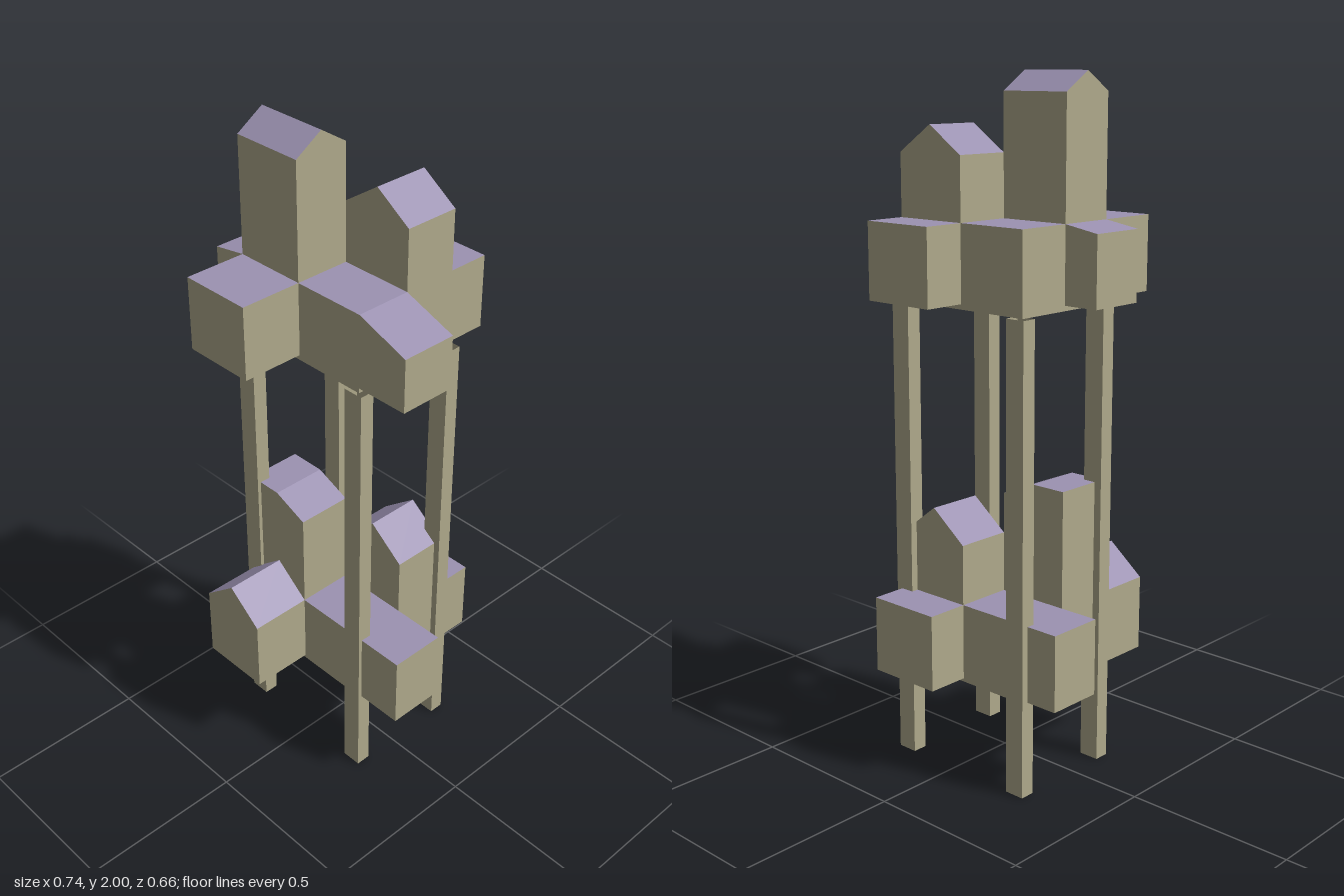
import * as THREE from 'three';

const wallMat = new THREE.MeshStandardMaterial({ color: 0xb0aa8c, flatShading: true });
const roofMat = new THREE.MeshStandardMaterial({ color: 0x9c92b2, flatShading: true });
const poleMat = new THREE.MeshStandardMaterial({ color: 0xb0aa8c, flatShading: true, side: THREE.DoubleSide });

// Shared plan grid: every room fills a grid cell
const X = [-0.25, -0.025, 0.205];
const Z = [-0.203, -0.032, 0.14];
const FAR_X = 0.37, FAR_Z = 0.33;

// Room prism: the roof line [[u, y], ...] closed down to the base, extruded from a to b.
// axis 'z': u is x, extruded along z; axis 'x': u is z, extruded along x.
function room(name, axis, base, roofLine, a, b) {
  const first = roofLine[0], last = roofLine[roofLine.length - 1];
  const shape = new THREE.Shape();
  shape.moveTo(first[0], base).lineTo(last[0], base);
  [...roofLine].reverse().forEach(([u, y]) => shape.lineTo(u, y));
  const geo = new THREE.ExtrudeGeometry(shape, { depth: b - a, bevelEnabled: false });
  if (axis === 'x') geo.rotateY(-Math.PI / 2).translate(b, 0, 0);
  else geo.translate(0, 0, a);

  // Upward faces become the roof, all others the walls
  const flat = geo.index ? geo.toNonIndexed() : geo;
  const p = flat.attributes.position;
  const parts = { Walls: [], Roof: [] };
  const tri = new THREE.Triangle(), n = new THREE.Vector3();
  for (let i = 0; i < p.count; i += 3) {
    tri.setFromAttributeAndIndices(p, i, i + 1, i + 2);
    tri.getNormal(n);
    const list = n.y > 0.1 ? parts.Roof : parts.Walls;
    [tri.a, tri.b, tri.c].forEach((v) => list.push(v.x, v.y, v.z));
  }
  const group = new THREE.Group();
  group.name = name;
  for (const [part, list] of Object.entries(parts)) {
    const g = new THREE.BufferGeometry();
    g.setAttribute('position', new THREE.Float32BufferAttribute(list, 3));
    g.computeVertexNormals();
    const mesh = new THREE.Mesh(g, part === 'Roof' ? roofMat : wallMat);
    mesh.name = name + part;
    group.add(mesh);
  }
  return group;
}

// Roof line helpers
const level = (u0, u1, y) => [[u0, y], [u1, y]];
const gable = (u0, u1, eave, ridge) => [[u0, eave], [(u0 + u1) / 2, ridge], [u1, eave]];

function upperStorey() {
  const g = new THREE.Group();
  g.name = 'upperStorey';
  const base = 1.38, top = 1.6;
  g.add(
    room('upperCore', 'z', 1.365, level(X[0], X[2], top), Z[0], Z[2]),
    room('upperFrontWing', 'z', base, level(X[0], X[1], top), Z[2], FAR_Z),
    room('upperBackWing', 'z', base, level(X[1], X[2], top), -FAR_Z, Z[0]),
    room('upperLeftWing', 'z', base, [[X[2], top], [FAR_X, 1.54]], Z[1], Z[2]),
    room('upperRightWing', 'z', base, [[-0.36, 1.582], [X[0], top]], Z[1], Z[2]),
    room('upperTallTower', 'x', top, gable(Z[1], Z[2], 1.945, 2), X[0], X[1]),
    room('upperShortTower', 'z', top, gable(X[1], X[2], 1.78, 1.857), Z[0], Z[1]),
  );
  return g;
}

function lowerStorey() {
  const g = new THREE.Group();
  g.name = 'lowerStorey';
  const base = 0.285, top = 0.51;
  const mid = (X[0] + X[1]) / 2;
  g.add(
    room('lowerCore', 'z', 0.275, level(X[0], X[2], top), Z[0], Z[2]),
    room('lowerFrontWing', 'z', base, gable(X[0], X[1], top, 0.6), Z[2], FAR_Z),
    room('lowerBackWing', 'z', base, level(X[1], X[2], top), -FAR_Z, Z[0]),
    room('lowerLeftWing', 'z', base, level(X[2], FAR_X, top), Z[1], Z[2]),
    room('lowerRightWing', 'z', base, level(-0.373, X[0], top), Z[0], Z[1]),
    room('lowerTallTower', 'z', top, [[X[0], 0.855], [mid, 0.855], [X[1], 0.808]], Z[1], Z[2]),
    room('lowerShortTower', 'z', top, gable(X[1], X[2], 0.688, 0.777), Z[0], Z[1]),
  );
  return g;
}

// Four square hollow poles carrying both storeys
function poles() {
  const g = new THREE.Group();
  g.name = 'poles';
  const height = 1.365;
  for (const x of [-0.242, 0.194]) {
    for (const z of [-0.202, 0.129]) {
      const geo = new THREE.CylinderGeometry(Math.SQRT1_2, Math.SQRT1_2, 1, 4, 1, true, Math.PI / 4);
      geo.scale(0.062, height, 0.045);
      const pole = new THREE.Mesh(geo, poleMat);
      pole.name = 'pole';
      pole.position.set(x, height / 2, z);
      g.add(pole);
    }
  }
  return g;
}

export function createModel() {
  const model = new THREE.Group();
  model.name = 'stiltHouse';
  model.add(poles(), lowerStorey(), upperStorey());
  return model;
}
